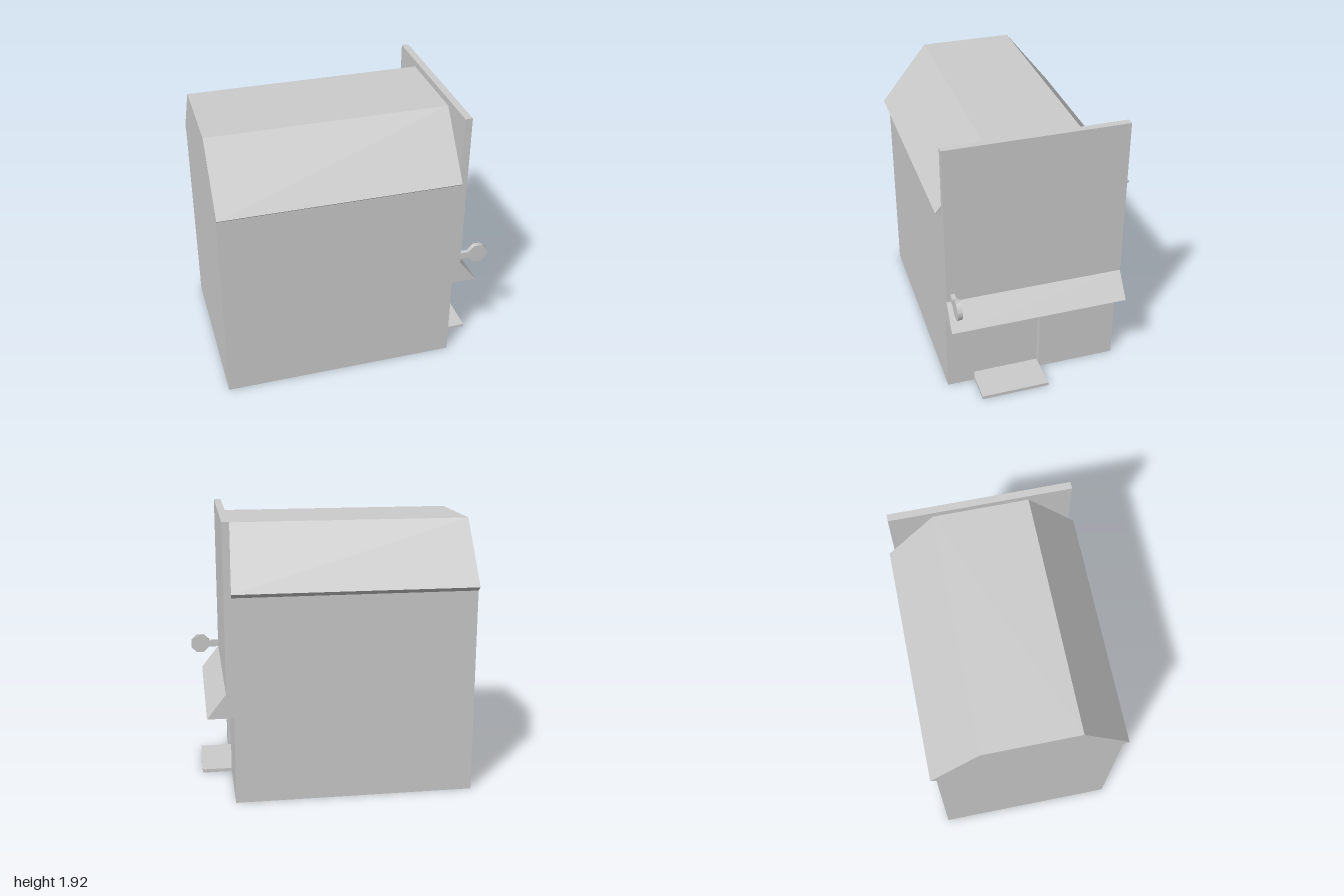
import * as THREE from 'three';

export function createModel() {
  const model = new THREE.Group();
  const grey = new THREE.MeshStandardMaterial({ color: 0xcccccc, side: THREE.DoubleSide });
  grey.name = 'plain grey';

  const building = new THREE.Group();
  building.name = 'building';
  building.rotation.y = 0.0765; // the building stands slightly turned
  model.add(building);

  const add = (name, geometry, x = 0, y = 0, z = 0) => {
    const mesh = new THREE.Mesh(geometry, grey);
    mesh.name = name;
    mesh.position.set(x, y, z);
    building.add(mesh);
    return mesh;
  };
  const box = (name, x0, x1, y0, y1, z0, z1) =>
    add(name, new THREE.BoxGeometry(x1 - x0, y1 - y0, z1 - z0),
      (x0 + x1) / 2, (y0 + y1) / 2, (z0 + z1) / 2);
  // flat four-cornered sheet
  const quad = (name, a, b, c, d) => {
    const g = new THREE.BufferGeometry();
    g.setAttribute('position', new THREE.Float32BufferAttribute([...a, ...b, ...c, ...a, ...c, ...d], 3));
    g.computeVertexNormals();
    return add(name, g);
  };

  const left = -0.952, right = 0.70, mid = -0.012;
  const doorBack = -0.07, doorFront = 0.413, doorTop = 0.61, doorDepth = 0.05;

  // Cross-section [z, y], from the front foot over the roof to the back foot
  const half = [[0.62, 0], [0.62, 1.43], [0.66, 1.46], [0.325, 1.88]];
  const profile = [
    ...half.map(([z, y]) => [mid + z, y]),
    ...half.slice().reverse().map(([z, y]) => [mid - z, y]),
  ];

  // Walls, eaves and roof, open at the bottom
  const names = ['frontWall', 'frontEave', 'frontRoofSlope', 'roofTop',
    'backRoofSlope', 'backEave', 'backWall'];
  names.forEach((name, i) => {
    const [z0, y0] = profile[i], [z1, y1] = profile[i + 1];
    quad(name, [left, y0, z0], [right, y0, z0], [right, y1, z1], [left, y1, z1]);
  });

  // End walls; the right one has a doorway cut from the bottom
  const endWall = (points) => {
    const shape = new THREE.Shape(points.map(([z, y]) => new THREE.Vector2(z, y)));
    return new THREE.ShapeGeometry(shape).rotateY(-Math.PI / 2);
  };
  add('leftEndWall', endWall(profile), left);
  const doorway = [[doorBack, 0], [doorBack, doorTop], [doorFront, doorTop], [doorFront, 0]];
  add('rightEndWall', endWall([...profile, ...doorway]), right);

  // Shallow entrance recess
  const inner = right - doorDepth;
  quad('door', [inner, 0, doorFront], [inner, 0, doorBack], [inner, doorTop, doorBack], [inner, doorTop, doorFront]);
  quad('frontJamb', [right, 0, doorFront], [inner, 0, doorFront], [inner, doorTop, doorFront], [right, doorTop, doorFront]);
  quad('backJamb', [inner, 0, doorBack], [right, 0, doorBack], [right, doorTop, doorBack], [inner, doorTop, doorBack]);
  quad('recessCeiling', [inner, doorTop, doorBack], [right, doorTop, doorBack], [right, doorTop, doorFront], [inner, doorTop, doorFront]);
  box('doorStep', inner, 0.912, 0, 0.025, doorBack, doorFront);

  // Tall facade board with a sloping awning at its foot
  const board = new THREE.Shape([[0.70, 0.612], [0.88, 0.612], [0.75, 0.78], [0.75, 1.925], [0.70, 1.925]]
    .map(([x, y]) => new THREE.Vector2(x, y)));
  add('facadeAndAwning',
    new THREE.ExtrudeGeometry(board, { depth: 1.24, bevelEnabled: false }), 0, 0, mid - 0.62);

  // Hanging sign: bracket and eight-sided disc
  box('signBracket', 0.74, 0.835, 0.79, 0.84, 0.552, 0.582);
  const disc = new THREE.CylinderGeometry(0.073, 0.073, 0.035, 8)
    .rotateY(Math.PI / 8).rotateX(Math.PI / 2);
  add('signDisc', disc, 0.89, 0.817, 0.567);

  return model;
}
